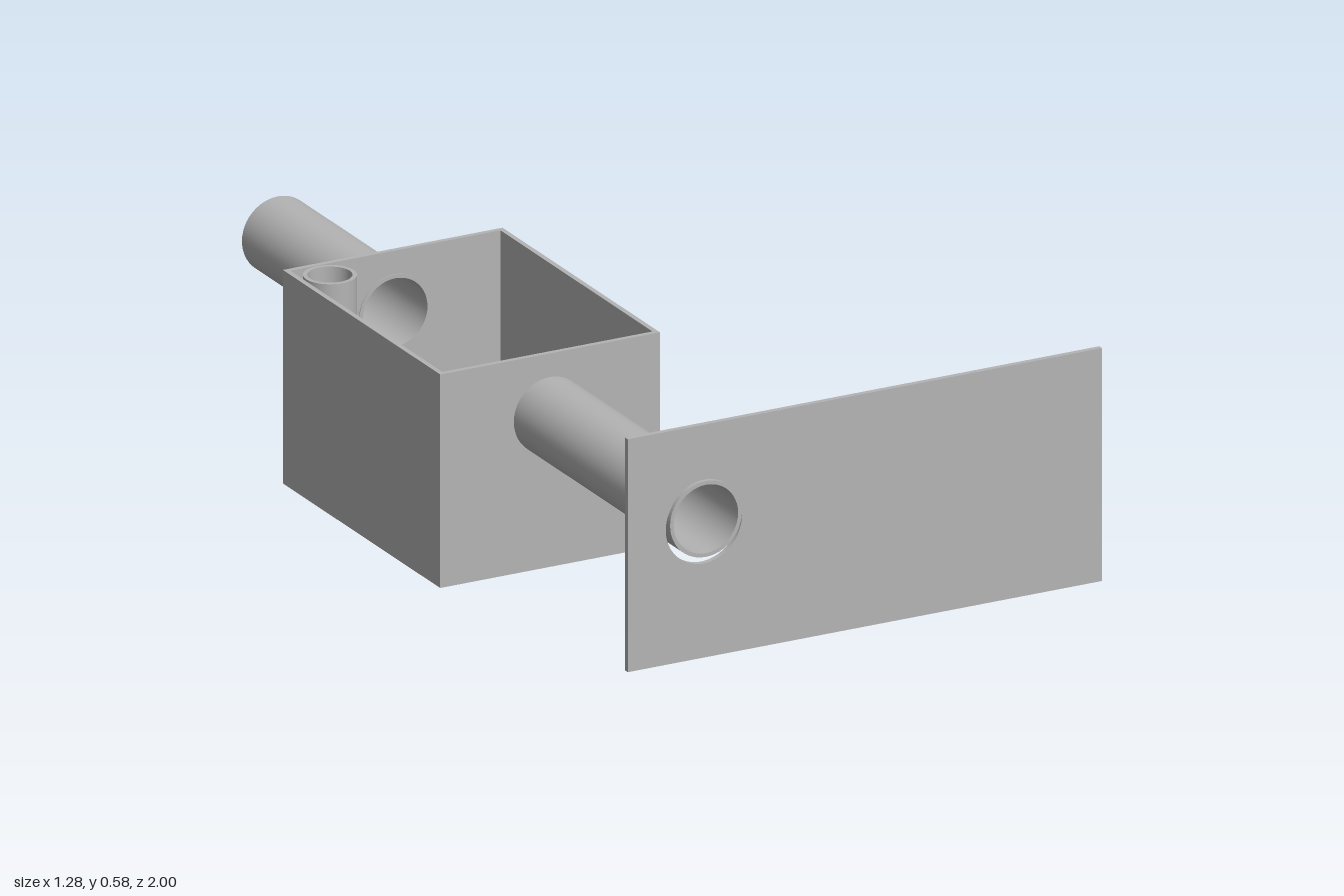
import * as THREE from 'three';

const PIPE_X = -0.365, PIPE_Y = 0.36, PIPE_R = 0.09;
const BOX = { x0: -0.64, x1: -0.088, y1: 0.506, z0: -0.465, z1: 0.27, wall: 0.012 };

export function createModel() {
  const model = new THREE.Group();
  const grey = new THREE.MeshStandardMaterial({ color: 0xb4b4b4 });
  grey.name = 'plain grey';

  const add = (name, geometry) => {
    const mesh = new THREE.Mesh(geometry, grey);
    mesh.name = name;
    model.add(mesh);
    return mesh;
  };

  // Upright sheet with a round hole, from z to z + depth
  const sheet = (name, x0, x1, y0, y1, z, depth, holeY, holeR) => {
    const shape = new THREE.Shape([
      new THREE.Vector2(x0, y0), new THREE.Vector2(x1, y0),
      new THREE.Vector2(x1, y1), new THREE.Vector2(x0, y1),
    ]);
    shape.holes.push(new THREE.Path().absarc(PIPE_X, holeY, holeR, 0, Math.PI * 2, true));
    const geometry = new THREE.ExtrudeGeometry(shape, { depth, bevelEnabled: false, curveSegments: 48 });
    add(name, geometry.translate(0, 0, z));
  };

  // Hollow tube standing on the origin; each wall is its own lathe so edges stay sharp
  const tube = (name, outer, inner, length) => {
    const group = new THREE.Group();
    group.name = name;
    const corners = [[outer, 0], [outer, length], [inner, length], [inner, 0], [outer, 0]];
    for (let i = 0; i < 4; i++) {
      const points = [corners[i], corners[i + 1]].map(([r, y]) => new THREE.Vector2(r, y));
      const mesh = new THREE.Mesh(new THREE.LatheGeometry(points, 48), grey);
      mesh.name = ['outerWall', 'topRim', 'innerWall', 'bottomRim'][i];
      group.add(mesh);
    }
    model.add(group);
    return group;
  };

  // Open-topped tank: floor, two plain sides, two ends pierced for the pipes
  const { x0, x1, y1, z0, z1, wall } = BOX;
  const cx = (x0 + x1) / 2, cz = (z0 + z1) / 2;
  add('tankFloor', new THREE.BoxGeometry(x1 - x0, wall, z1 - z0)).position.set(cx, wall / 2, cz);
  for (const [name, x] of [['tankRightSide', x0 + wall / 2], ['tankLeftSide', x1 - wall / 2]]) {
    add(name, new THREE.BoxGeometry(wall, y1 - wall, z1 - z0 - 2 * wall))
      .position.set(x, (y1 + wall) / 2, cz);
  }
  sheet('tankFront', x0, x1, wall, y1, z1 - wall, wall, PIPE_Y, PIPE_R - 0.001);
  sheet('tankBack', x0, x1, wall, y1, z0, wall, PIPE_Y, PIPE_R - 0.001);

  // Horizontal pipes entering the tank at both ends
  for (const [name, z, length] of [['frontPipe', z1 - wall - 0.002, 1 - z1 + wall + 0.002], ['backPipe', -1, 0.549]]) {
    const pipe = tube(name, PIPE_R, 0.081, length);
    pipe.rotation.x = Math.PI / 2;
    pipe.position.set(PIPE_X, PIPE_Y, z);
  }

  // Standpipe in the back corner of the tank
  tube('standpipe', 0.06, 0.05, y1 - wall).position.set(-0.562, wall, -0.39);

  // Front plate with a slightly low, oversized hole
  sheet('frontPlate', -0.556, 0.636, 0.028, 0.58, 0.977, 0.013, 0.347, 0.0955);

  return model;
}
